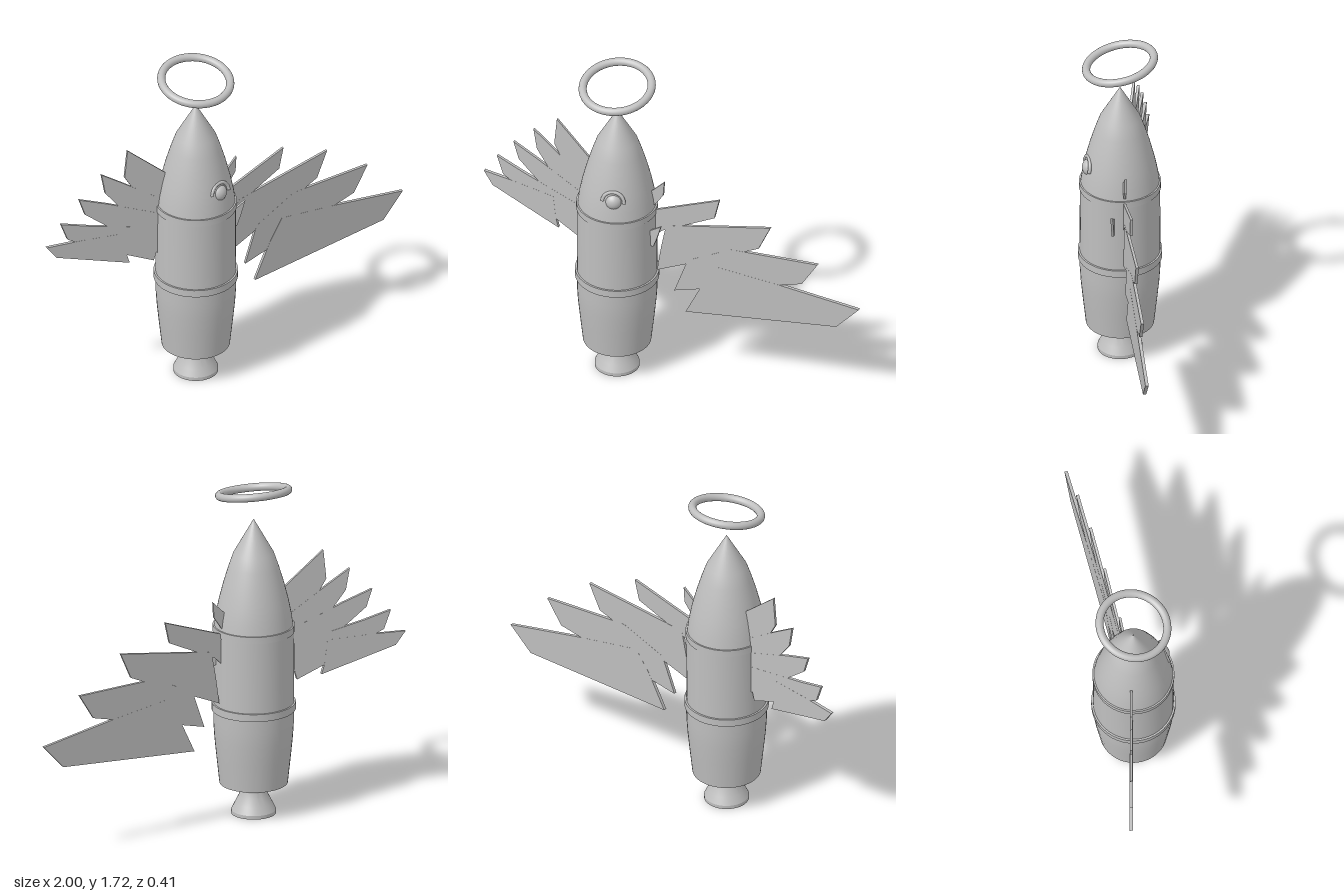
import * as THREE from 'three';
import { toCreasedNormals } from 'three/addons/utils/BufferGeometryUtils.js';

const CX = -0.23; // rocket axis

export function createModel() {
  const model = new THREE.Group();
  model.name = 'wingedRocket';
  const grey = new THREE.MeshStandardMaterial({ color: 0xbfbfbf, side: THREE.DoubleSide });
  grey.name = 'plain grey';

  const add = (name, geometry, x = 0, y = 0, z = 0, parent = model) => {
    const mesh = new THREE.Mesh(geometry, grey);
    mesh.name = name;
    mesh.position.set(x, y, z);
    parent.add(mesh);
    return mesh;
  };

  // Turned part from [radius, height] pairs, with sharp rims kept
  const turned = (name, profile) => {
    const points = profile.map(([r, y]) => new THREE.Vector2(r, y));
    add(name, toCreasedNormals(new THREE.LatheGeometry(points, 48), 0.33), CX);
  };

  // Engine bell, hollow underneath
  turned('nozzle', [
    [0.001, 0.12], [0.05, 0.12], [0.07, 0.08], [0.1, 0.015], [0.1, 0.0], [0.11, 0.0],
    [0.11, 0.018], [0.092, 0.055], [0.072, 0.095], [0.066, 0.12], [0.07, 0.135], [0.073, 0.17],
  ]);
  // Fuselage, bands and nose
  turned('fuselage', [
    [0.001, 0.16], [0.168, 0.16], [0.183, 0.3], [0.193, 0.4], [0.198, 0.48], [0.198, 0.6], [0.197, 0.96], [0.001, 0.96],
  ]);
  turned('lowerBand', [[0.195, 0.542], [0.207, 0.542], [0.207, 0.58], [0.195, 0.58]]);
  turned('upperBand', [[0.19, 0.945], [0.201, 0.945], [0.201, 0.98], [0.19, 0.98]]);
  turned('nose', [
    [0.194, 0.975], [0.187, 1.03], [0.171, 1.11], [0.148, 1.2], [0.124, 1.28], [0.1, 1.35], [0.001, 1.525],
  ]);

  // Halo, lower at the front
  add('halo', new THREE.TorusGeometry(0.17, 0.02, 16, 64), CX, 1.663, 0).rotation.x = Math.PI / 2 + 0.21;

  // Domed eye with an arched lid
  const eye = new THREE.Group();
  eye.name = 'eye';
  eye.position.set(-0.178, 1.088, 0.155);
  eye.rotation.set(-0.18, 0.25, 0);
  model.add(eye);
  add('eyeDome', new THREE.SphereGeometry(0.045, 24, 16), 0, 0, -0.015, eye);
  add('eyeLid', new THREE.TorusGeometry(0.054, 0.009, 10, 28, Math.PI), 0, 0, 0.006, eye);

  // Thin feather from an outline; its depth follows the wing's backward sweep
  const feather = (name, outline, z0, x0, slope, thick = 0.012) => {
    const shape = new THREE.Shape(outline.map(([x, y]) => new THREE.Vector2(x, y)));
    const geometry = new THREE.ExtrudeGeometry(shape, { depth: thick, bevelEnabled: false });
    const p = geometry.attributes.position;
    for (let i = 0; i < p.count; i++) {
      p.setZ(i, p.getZ(i) - thick / 2 + z0 + slope * (p.getX(i) - x0));
    }
    geometry.computeVertexNormals();
    add(name, geometry);
  };

  // Left wing, spread low and wide
  [
    [[-0.12, 1.02], [-0.05, 1.08], [0.01, 1.14], [0.005, 1.06], [-0.05, 0.98]],
    [[-0.09, 0.94], [-0.03, 0.97], [0.29, 1.09], [0.265, 0.98], [0.0, 0.85], [-0.09, 0.76]],
    [[0.02, 0.885], [0.55, 0.98], [0.49, 0.845], [0.2, 0.71], [-0.025, 0.61], [-0.005, 0.75]],
    [[0.13, 0.7], [0.35, 0.81], [0.79, 0.81], [0.71, 0.68], [0.062, 0.505]],
    [[0.28, 0.69], [0.59, 0.65], [1.0, 0.585], [0.885, 0.46], [0.12, 0.39], [0.21, 0.58]],
  ].forEach((o, i) => feather('leftFeather' + (i + 1), o, -0.03, -0.03, -0.14, 0.012 + i * 0.001));

  // Right wing, raised in a fan
  [
    [[-0.3, 1.1], [-0.375, 1.155], [-0.58, 1.33], [-0.595, 1.18], [-0.46, 0.95], [-0.36, 0.9]],
    [[-0.38, 1.0], [-0.59, 1.14], [-0.715, 1.22], [-0.695, 1.11], [-0.46, 0.8], [-0.38, 0.78]],
    [[-0.4, 0.93], [-0.68, 1.045], [-0.83, 1.1], [-0.8, 1.01], [-0.43, 0.715], [-0.4, 0.7]],
    [[-0.43, 0.86], [-0.78, 0.94], [-0.925, 0.98], [-0.89, 0.885], [-0.585, 0.733], [-0.445, 0.672], [-0.43, 0.725]],
    [[-0.6, 0.86], [-0.82, 0.865], [-1.0, 0.862], [-0.95, 0.795], [-0.57, 0.685], [-0.585, 0.735]],
  ].forEach((o, i) => feather('rightFeather' + (i + 1), o, -0.035, -0.42, 0.13, 0.012 + i * 0.001));

  // Small loose feather at the left flank, ahead of the wing
  feather('smallFeather', [[-0.06, 0.86], [0.024, 0.92], [0.0, 0.84], [-0.02, 0.785], [-0.06, 0.8]], 0.027, -0.03, 0.1);

  return model;
}
